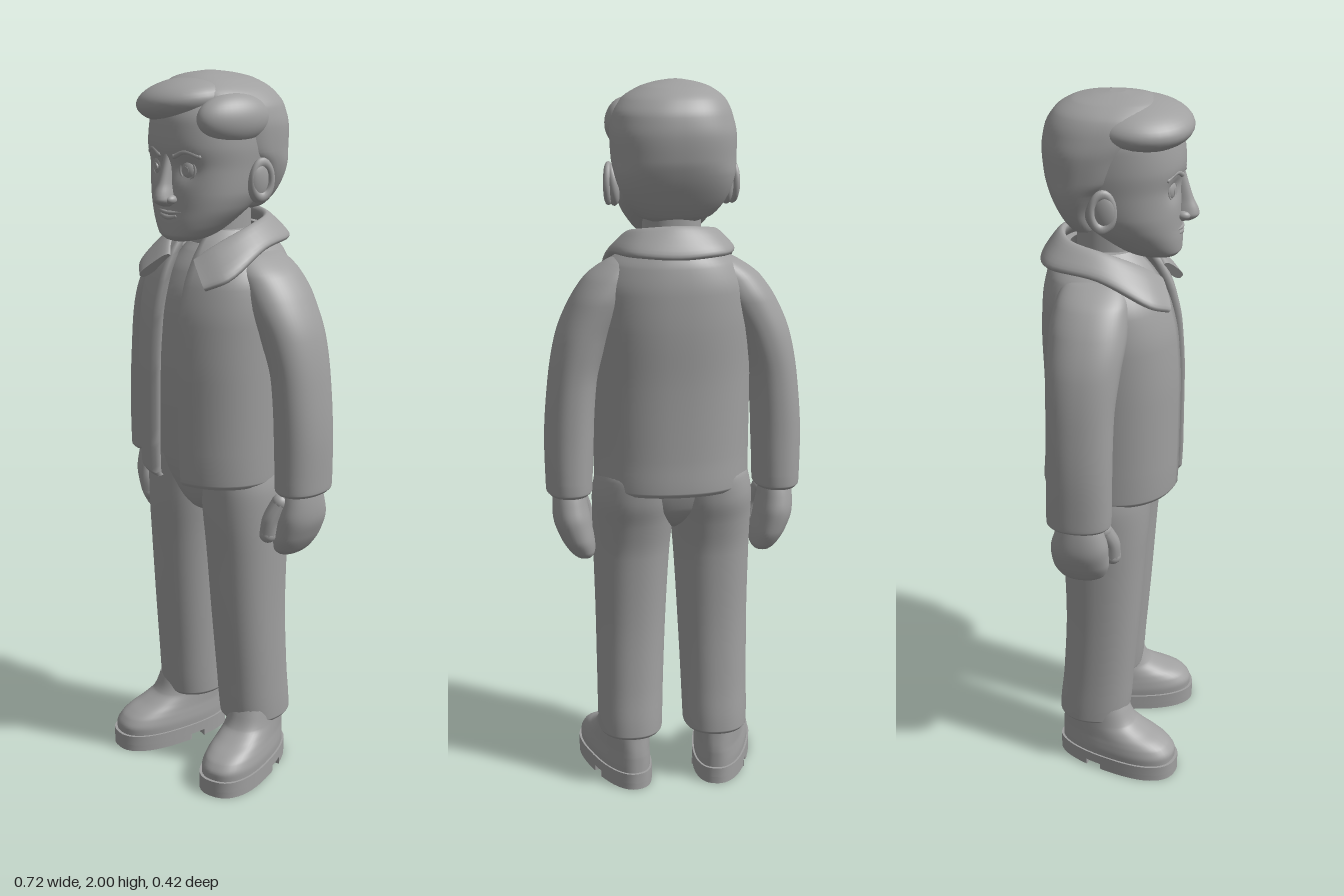
import * as THREE from 'three';

const grey = new THREE.MeshStandardMaterial({ color: 0xa0a0a0 });
grey.name = 'clay grey';

// Skin closed loops of points into a solid; flat strip caps close both ends.
function skin(loops) {
  const L = loops[0].length, n = loops.length, pos = [], idx = [];
  const quad = (a, b, c, d) => idx.push(a, b, c, a, c, d);
  loops.forEach(l => l.forEach(p => pos.push(...p)));
  for (let i = 0; i < n - 1; i++) for (let j = 0; j < L; j++) {
    const k = (j + 1) % L;
    quad(i * L + j, i * L + k, (i + 1) * L + k, (i + 1) * L + j);
  }
  [loops[0], loops[n - 1]].forEach((l, e) => {
    const o = pos.length / 3;
    l.forEach(p => pos.push(...p));
    for (let j = 0; j < L / 2 - 1; j++) {
      const q = [o + j, o + j + 1, o + L - 2 - j, o + L - 1 - j];
      quad(...(e ? q : q.reverse()));
    }
  });
  const g = new THREE.BufferGeometry();
  g.setAttribute('position', new THREE.Float32BufferAttribute(pos, 3));
  g.setIndex(idx);
  g.computeVertexNormals();
  return g;
}

// Smoothly resample rows whose first column is the height.
function resample(rows, steps) {
  const sec = (i, c) => (rows[i + 1][c] - rows[i][c]) / (rows[i + 1][0] - rows[i][0]);
  const slope = (i, c) => {
    if (i === 0) return sec(0, c);
    if (i === rows.length - 1) return sec(i - 1, c);
    const a = sec(i - 1, c), b = sec(i, c);
    return a * b <= 0 ? 0 : 2 * a * b / (a + b);
  };
  const out = [];
  for (let i = 0; i < rows.length - 1; i++) for (let s = 0; s < steps; s++) {
    const t = s / steps, h = rows[i + 1][0] - rows[i][0], t2 = t * t, t3 = t2 * t;
    out.push(rows[i].map((v, c) => c === 0 ? v + h * t :
      v * (2 * t3 - 3 * t2 + 1) + rows[i + 1][c] * (3 * t2 - 2 * t3) +
      h * (slope(i, c) * (t3 - 2 * t2 + t) + slope(i + 1, c) * (t3 - t2))));
  }
  out.push(rows[rows.length - 1]);
  return out;
}

const pw = (v, n) => Math.sign(v) * Math.abs(v) ** (2 / n);
const ring = ([y, cx, rx, zf, zb], a, n) =>
  [cx + rx * pw(Math.sin(a), n), y, (zf + zb) / 2 + (zf - zb) / 2 * pw(Math.cos(a), n)];

// Stack of rounded slices: rows are [y, centreX, halfWidth, frontZ, backZ].
function loft(rows, { n = 2.2, seg = 48, steps = 5, rule = p => p } = {}) {
  return skin(resample(rows, steps).map(r =>
    Array.from({ length: seg }, (_, j) => rule(ring(r, (j + 0.5) / seg * Math.PI * 2, n)))));
}

// Open-fronted shell with a wall thickness and a gap of half width w(y).
function jacketShell(rows, wall, n, w) {
  return skin(resample(rows, 5).map(r => {
    const [y, cx, rx, zf, zb] = r, K = 56, loop = [];
    const inner = [y, cx, rx - wall, zf - wall, zb + wall];
    [r, inner].forEach((q, side) => {
      const a0 = Math.asin(Math.min(0.95, w(y) / q[2]) ** (n / 2));
      for (let j = 0; j <= K; j++) {
        const t = (side ? K - j : j) / K;
        loop.push(ring(q, a0 + t * (Math.PI * 2 - 2 * a0), n));
      }
    });
    return loop;
  }));
}

export function createModel() {
  const model = new THREE.Group();
  const add = (name, geo, parent = model) => {
    const m = new THREE.Mesh(geo, grey);
    m.name = name;
    parent.add(m);
    return m;
  };
  const blob = (name, p, r, rot = [0, 0, 0]) => {
    const m = add(name, new THREE.SphereGeometry(1, 36, 24));
    m.position.set(...p); m.scale.set(...r); m.rotation.set(...rot);
    return m;
  };
  const curve = pts => new THREE.CatmullRomCurve3(pts.map(p => new THREE.Vector3(...p)));
  const tube = (name, pts, r) => {
    add(name, new THREE.TubeGeometry(curve(pts), 20, r, 10));
    [pts[0], pts[pts.length - 1]].forEach(p => blob(name + 'End', p, [r, r, r]));
  };

  // Jacket, shirt and neck
  add('jacket', jacketShell([
    [0.897, 0, 0.208, 0.17, -0.2], [0.91, 0, 0.216, 0.178, -0.208], [1.0, 0, 0.217, 0.181, -0.203],
    [1.2, 0, 0.219, 0.181, -0.2], [1.35, 0, 0.22, 0.172, -0.204], [1.45, 0, 0.212, 0.15, -0.2],
    [1.52, 0, 0.175, 0.118, -0.188], [1.56, 0, 0.128, 0.09, -0.17], [1.59, 0, 0.1, 0.06, -0.15],
  ], 0.02, 2.3, y => 0.05 - 0.012 * Math.min(1, (y - 0.9) / 0.55)));
  add('shirt', loft([
    [0.95, 0, 0.17, 0.135, -0.13], [1.2, 0, 0.18, 0.152, -0.15], [1.4, 0, 0.175, 0.142, -0.15],
    [1.48, 0, 0.13, 0.115, -0.14], [1.53, 0, 0.09, 0.08, -0.12], [1.55, 0, 0.08, 0.06, -0.11]]));
  add('neck', loft([[1.45, 0, 0.09, 0.07, -0.12], [1.55, 0, 0.08, 0.058, -0.11], [1.7, 0, 0.078, 0.05, -0.11]]));
  const neckband = add('neckband', new THREE.TorusGeometry(0.088, 0.01, 10, 48));
  neckband.position.set(0, 1.535, -0.012);
  neckband.rotation.x = Math.PI / 2 + 0.25;

  // Folded collar: a thick leaf swept between a neck curve and an outer curve
  const sweep = half => curve([...half.slice(1).reverse(), ...half.map(([x, y, z]) => [-x, y, z])]);
  const inside = sweep([[0, 1.625, -0.14], [0.08, 1.615, -0.11], [0.106, 1.595, -0.02], [0.082, 1.555, 0.065], [0.045, 1.515, 0.112]]);
  const outside = sweep([[0, 1.545, -0.196], [0.12, 1.55, -0.166], [0.165, 1.54, -0.03], [0.168, 1.475, 0.105], [0.125, 1.45, 0.15]]);
  add('collar', skin(Array.from({ length: 49 }, (_, i) => {
    const t = i / 48, P = inside.getPoint(t), Q = outside.getPoint(t);
    const d = Q.clone().sub(P).multiplyScalar(0.5);
    const n = inside.getTangent(t).cross(d).normalize();
    const c = P.clone().add(Q).multiplyScalar(0.5).addScaledVector(n, -0.006);
    return Array.from({ length: 20 }, (_, j) => {
      const b = (j + 0.5) / 20 * Math.PI * 2;
      return c.clone().addScaledVector(d, pw(Math.cos(b), 3)).addScaledVector(n, 0.013 * pw(Math.sin(b), 3)).toArray();
    });
  })));

  // Hips joining the legs
  add('hips', loft([
    [0.775, 0, 0.015, 0.03, -0.08], [0.8, 0, 0.06, 0.07, -0.115], [0.85, 0, 0.16, 0.095, -0.15],
    [0.92, 0, 0.205, 0.115, -0.165], [0.98, 0, 0.195, 0.125, -0.165]]));

  for (const s of [1, -1]) {
    const side = rows => rows.map(([y, cx, ...r]) => [y, cx * s, ...r]);
    const L = s > 0 ? 'left' : 'right';

    add(L + 'Sleeve', loft(side([
      [0.887, 0.292, 0.056, 0.02, -0.14], [0.897, 0.292, 0.064, 0.028, -0.148], [0.93, 0.292, 0.065, 0.029, -0.149],
      [1.05, 0.29, 0.068, 0.03, -0.147], [1.2, 0.279, 0.067, 0.033, -0.147], [1.32, 0.25, 0.075, 0.045, -0.15],
      [1.42, 0.2, 0.084, 0.057, -0.15], [1.48, 0.165, 0.078, 0.055, -0.14], [1.525, 0.13, 0.052, 0.035, -0.12],
      [1.55, 0.1, 0.02, -0.01, -0.07]])));
    add(L + 'Hand', loft(side([
      [0.694, 0.252, 0.012, -0.035, -0.08], [0.702, 0.254, 0.026, -0.01, -0.105], [0.72, 0.26, 0.038, 0.008, -0.122],
      [0.76, 0.273, 0.048, 0.018, -0.137], [0.81, 0.286, 0.052, 0.018, -0.14], [0.86, 0.291, 0.048, 0.008, -0.128],
      [0.91, 0.292, 0.042, -0.01, -0.11]])));
    tube(L + 'Thumb', [[0.262 * s, 0.86, 0], [0.246 * s, 0.81, 0.02], [0.238 * s, 0.765, 0.022]], 0.024);

    add(L + 'TrouserLeg', loft(side([
      [0.155, 0.125, 0.086, 0.047, -0.147], [0.165, 0.125, 0.092, 0.054, -0.153], [0.3, 0.123, 0.095, 0.066, -0.141],
      [0.5, 0.119, 0.1, 0.082, -0.132], [0.7, 0.115, 0.108, 0.096, -0.138], [0.8, 0.111, 0.114, 0.104, -0.155],
      [0.87, 0.108, 0.117, 0.107, -0.172], [0.93, 0.1, 0.114, 0.108, -0.176], [0.975, 0.09, 0.1, 0.1, -0.16]])));

    // Shoe turned slightly outwards, broad at the toe
    const shoe = new THREE.Group();
    shoe.name = L + 'Shoe';
    shoe.position.x = 0.15 * s;
    shoe.rotation.y = 0.25 * s;
    model.add(shoe);
    const egg = ([x, y, z]) => [x * (0.93 + 0.7 * z), y, z];
    add('upper', loft([
      [0.04, 0, 0.082, 0.203, -0.15], [0.065, 0, 0.083, 0.203, -0.15], [0.09, 0, 0.08, 0.187, -0.15],
      [0.107, 0, 0.077, 0.16, -0.149], [0.125, 0, 0.075, 0.117, -0.147], [0.15, 0, 0.073, 0.075, -0.144],
      [0.2, 0, 0.07, 0.05, -0.14]], { n: 2.4, rule: egg }), shoe);
    const slab = (name, y0, y1, z0, z1) => add(name, loft(
      [[y0, 0, 0.088, 0.211, -0.158], [y1, 0, 0.088, 0.211, -0.158]],
      { n: 2.4, steps: 1, rule: p => egg([p[0], p[1], Math.min(z1, Math.max(z0, p[2]))]) }), shoe);
    slab('sole', 0.018, 0.048, -1, 1);
    slab('heel', 0, 0.02, -1, -0.045);
    slab('forefootSole', 0, 0.02, 0.0, 1);

    // Ear, eye and brow
    blob(L + 'Ear', [0.157 * s, 1.725, -0.012], [0.02, 0.056, 0.034], [0, 0, -0.1 * s]);
    const rim = add(L + 'EarRim', new THREE.TorusGeometry(0.03, 0.009, 10, 32));
    rim.position.set(0.168 * s, 1.73, -0.014);
    rim.scale.set(0.95, 1.5, 1);
    rim.rotation.y = Math.PI / 2 - 0.3 * s;
    blob(L + 'Eye', [0.057 * s, 1.762, 0.143], [0.021, 0.026, 0.013], [0, 0.3 * s, 0]);
    const lid = add(L + 'Eyelid', new THREE.TorusGeometry(0.022, 0.004, 8, 32));
    lid.position.set(0.057 * s, 1.762, 0.148);
    lid.scale.y = 1.2;
    lid.rotation.y = 0.3 * s;
    const iris = add(L + 'Iris', new THREE.CylinderGeometry(0.01, 0.01, 0.006, 24));
    iris.position.set(0.056 * s, 1.76, 0.155);
    iris.rotation.set(Math.PI / 2, 0, -0.3 * s);
    tube(L + 'Brow', [[0.028 * s, 1.795, 0.168], [0.06 * s, 1.809, 0.159], [0.092 * s, 1.797, 0.14]], 0.007);
    blob(L + 'Nostril', [0.022 * s, 1.683, 0.174], [0.013, 0.012, 0.018]);
  }

  // Head with shallow eye sockets
  const sockets = ([x, y, z]) => [x, y, z <= 0 ? z :
    z - 0.013 * Math.exp(-(((Math.abs(x) - 0.057) / 0.03) ** 2) - ((y - 1.762) / 0.03) ** 2)];
  add('head', loft([
    [1.568, 0, 0.03, 0.145, 0.07], [1.573, 0, 0.05, 0.158, 0.045], [1.588, 0, 0.076, 0.169, 0.01],
    [1.62, 0, 0.105, 0.17, -0.04], [1.66, 0, 0.131, 0.168, -0.09], [1.7, 0, 0.145, 0.168, -0.13],
    [1.76, 0, 0.152, 0.168, -0.16], [1.82, 0, 0.157, 0.176, -0.175], [1.88, 0, 0.155, 0.17, -0.18],
    [1.94, 0, 0.13, 0.14, -0.15], [1.98, 0, 0.06, 0.08, -0.1]], { seg: 80, steps: 7, rule: sockets }));
  add('nose', loft([
    [1.663, 0, 0.008, 0.18, 0.15], [1.668, 0, 0.018, 0.196, 0.145], [1.683, 0, 0.025, 0.213, 0.14],
    [1.695, 0, 0.023, 0.211, 0.14], [1.725, 0, 0.017, 0.197, 0.14], [1.77, 0, 0.014, 0.182, 0.14],
    [1.805, 0, 0.012, 0.172, 0.14]], { seg: 28 }));
  tube('upperLip', [[-0.04, 1.65, 0.159], [0, 1.647, 0.169], [0.04, 1.65, 0.159]], 0.005);
  tube('lowerLip', [[-0.026, 1.638, 0.162], [0, 1.634, 0.167], [0.026, 1.638, 0.162]], 0.007);

  // Hair: back cap, swept fringe and the smaller mass beyond the parting
  add('hairCap', loft([
    [1.635, 0, 0.06, -0.06, -0.1], [1.65, 0, 0.1, -0.045, -0.12], [1.7, 0, 0.138, -0.04, -0.152],
    [1.76, 0, 0.16, 0.0, -0.179], [1.8, 0, 0.166, 0.058, -0.19], [1.86, 0, 0.168, 0.085, -0.195],
    [1.91, 0, 0.16, 0.12, -0.188], [1.95, -0.006, 0.138, 0.13, -0.165], [1.98, -0.012, 0.095, 0.105, -0.12],
    [1.993, -0.015, 0.055, 0.07, -0.07], [2.0, -0.015, 0.015, 0.02, -0.02]], { n: 2.35, seg: 64 }));
  blob('fringe', [-0.032, 1.928, 0.06], [0.136, 0.06, 0.14], [0.05, 0, 0.12]);
  blob('sideHair', [0.116, 1.888, 0.04], [0.054, 0.066, 0.11], [0, -0.2, 0.15]);

  return model;
}
